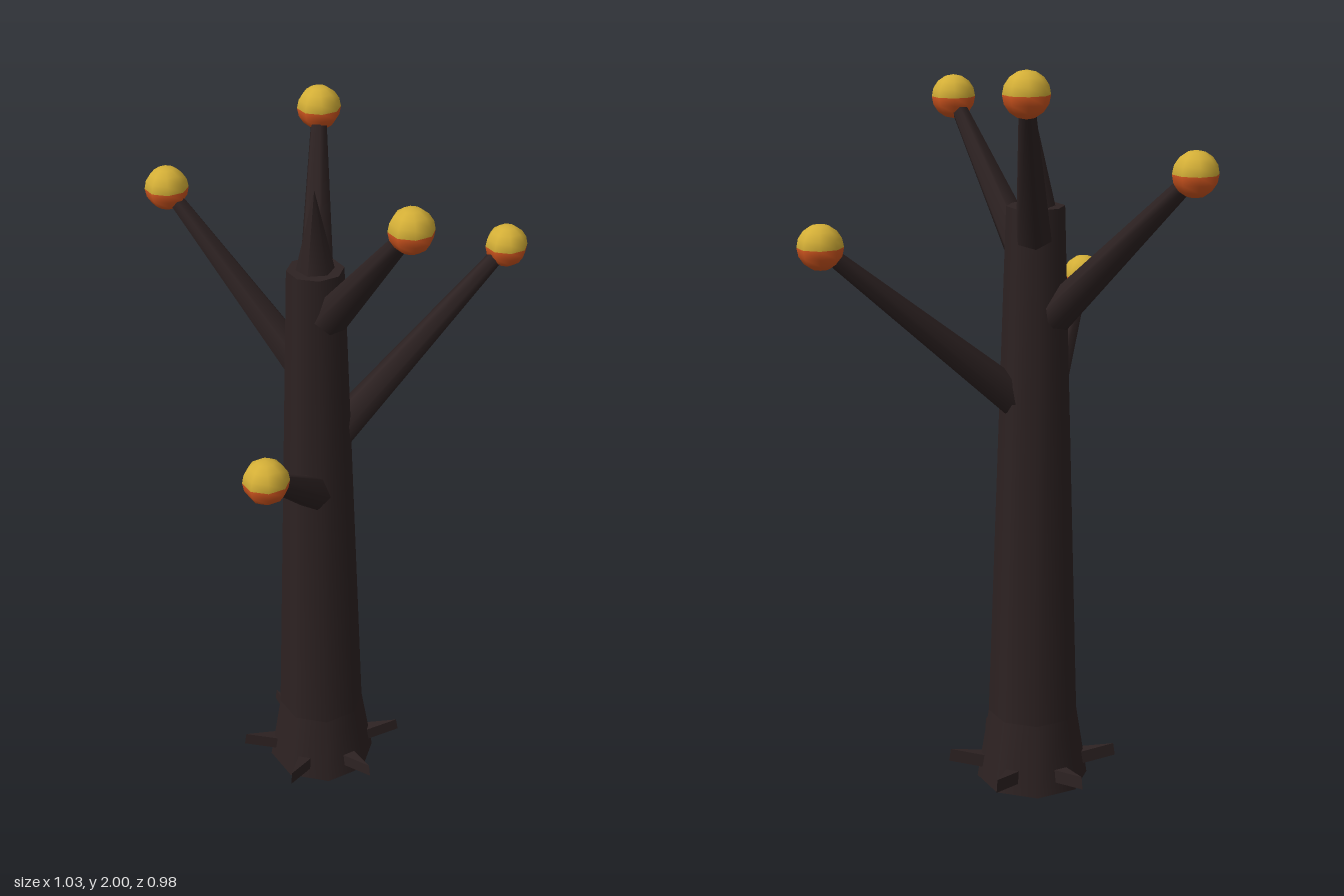
import * as THREE from 'three';

const bark = new THREE.MeshStandardMaterial({ color: 0x2d2222 });
bark.name = 'dark bark';
const orange = new THREE.MeshStandardMaterial({ color: 0xd2561f });
orange.name = 'orange';
const yellow = new THREE.MeshStandardMaterial({ color: 0xd4af37 });
yellow.name = 'golden yellow';

const CX = -0.1, CZ = -0.115; // trunk axis

function add(parent, name, geometry, material, x = 0, y = 0, z = 0) {
  const mesh = new THREE.Mesh(geometry, material);
  mesh.name = name;
  mesh.position.set(x, y, z);
  parent.add(mesh);
  return mesh;
}

// Tapered six-sided limb between two points
function limb(parent, start, end) {
  const dir = end.clone().sub(start);
  const mesh = add(parent, 'limb', new THREE.CylinderGeometry(0.02, 0.05, dir.length(), 6), bark);
  mesh.position.copy(start).add(end).multiplyScalar(0.5);
  mesh.quaternion.setFromUnitVectors(new THREE.Vector3(0, 1, 0), dir.normalize());
}

export function createModel() {
  const group = new THREE.Group();
  group.name = 'tree';

  // Trunk with flared foot and pointed top
  const trunk = new THREE.Group();
  trunk.name = 'trunk';
  trunk.position.set(CX, 0, CZ);
  group.add(trunk);
  add(trunk, 'foot', new THREE.CylinderGeometry(0.123, 0.155, 0.2, 8), bark, 0, 0.1, 0);
  add(trunk, 'stem', new THREE.CylinderGeometry(0.077, 0.123, 1.42, 8), bark, 0, 0.91, 0);
  const spike = add(trunk, 'topSpike', new THREE.ConeGeometry(0.056, 0.24, 6), bark, 0, 1.72, 0);
  spike.rotation.y = Math.PI / 2;

  // Six wedge roots, tilted slightly up
  const wedge = new THREE.Shape([
    new THREE.Vector2(0.1, -0.026), new THREE.Vector2(0.238, 0), new THREE.Vector2(0.1, 0.026),
  ]);
  const rootGeo = new THREE.ExtrudeGeometry(wedge, { depth: 0.036, bevelEnabled: false });
  rootGeo.rotateX(-Math.PI / 2);
  rootGeo.rotateZ(0.15);
  for (let i = 0; i < 6; i++) {
    add(trunk, 'root', rootGeo, bark, 0, 0.012, 0).rotation.y = i * Math.PI / 3;
  }

  // Branches: base and tip, each tip carrying a two-coloured ball
  const branches = [
    [[-0.146, 1.335, -0.153], [-0.46, 1.743, -0.417]],
    [[-0.09, 1.55, -0.174], [-0.044, 1.94, -0.431]],
    [[-0.07, 1.5, -0.063], [0.092, 1.866, 0.219]],
    [[-0.045, 1.11, -0.135], [0.456, 1.557, -0.315]],
    [[-0.122, 0.975, -0.045], [-0.296, 1.322, 0.428]],
  ];
  const upper = new THREE.SphereGeometry(0.059, 8, 4, 0, Math.PI * 2, 0, Math.PI / 2);
  const lower = new THREE.SphereGeometry(0.059, 8, 4, 0, Math.PI * 2, Math.PI / 2, Math.PI / 2);
  for (const [from, to] of branches) {
    const branch = new THREE.Group();
    branch.name = 'branch';
    limb(branch, new THREE.Vector3(...from), new THREE.Vector3(...to));
    add(branch, 'ballTop', upper, yellow, ...to);
    add(branch, 'ballBottom', lower, orange, ...to);
    group.add(branch);
  }
  return group;
}
